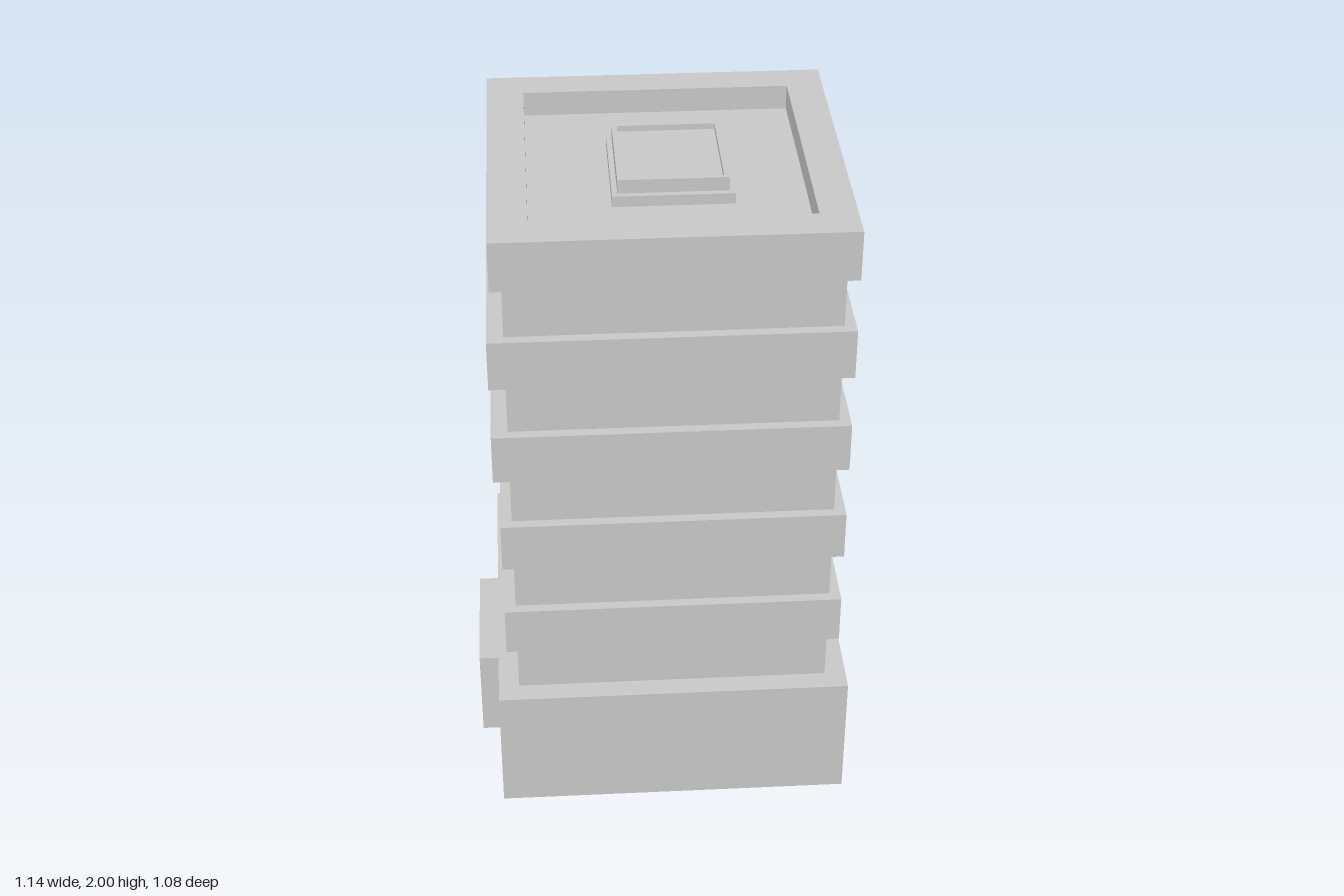
import * as THREE from 'three';

const material = new THREE.MeshStandardMaterial({ color: 0xcccccc, flatShading: true });

function add(parent, name, geometry) {
  const mesh = new THREE.Mesh(geometry, material);
  mesh.name = name;
  parent.add(mesh);
  return mesh;
}

// Box given by its limits on each axis
function block(parent, name, [x0, x1], [y0, y1], [z0, z1]) {
  const geometry = new THREE.BoxGeometry(x1 - x0, y1 - y0, z1 - z0);
  geometry.translate((x0 + x1) / 2, (y0 + y1) / 2, (z0 + z1) / 2);
  return add(parent, name, geometry);
}

function rectangle(PathType, [a0, a1], [b0, b1]) {
  return new PathType([[a0, b0], [a1, b0], [a1, b1], [a0, b1]].map(([a, b]) => new THREE.Vector2(a, b)));
}

// Rectangle with a rectangular hole, extruded along +z
function frame(outerA, outerB, innerA, innerB, depth) {
  const shape = rectangle(THREE.Shape, outerA, outerB);
  shape.holes.push(rectangle(THREE.Path, innerA, innerB));
  return new THREE.ExtrudeGeometry(shape, { depth, bevelEnabled: false });
}

// Frame lying flat, from y0 to y1 (z limits are given mirrored)
function flatFrame(parent, name, outX, outZ, inX, inZ, y0, y1) {
  const flip = ([a, b]) => [-b, -a];
  const geometry = frame(outX, flip(outZ), inX, flip(inZ), y1 - y0);
  geometry.rotateX(-Math.PI / 2).translate(0, y0, 0);
  return add(parent, name, geometry);
}

// Frame facing -x, from x1 out to x0
function sideFrame(parent, name, outZ, outY, inZ, inY, x0, x1) {
  const geometry = frame(outZ, outY, inZ, inY, x1 - x0);
  geometry.rotateY(-Math.PI / 2).translate(x1, 0, 0);
  return add(parent, name, geometry);
}

export function createModel() {
  const tower = new THREE.Group();
  tower.name = 'towerBlock';

  // Ground storey, with a passage running in from the entrance
  const doorZ = [-0.19, 0.185], doorY = [0.015, 0.282];
  const base = new THREE.Group();
  base.name = 'groundStorey';
  tower.add(base);
  block(base, 'baseRear', [0, 0.57], [0, 0.413], [-0.54, 0.54]);
  sideFrame(base, 'baseWithPassage', [-0.54, 0.54], [0, 0.413], doorZ, doorY, -0.508, 0);
  sideFrame(base, 'entranceSurround', [-0.208, 0.205], [0, 0.3], doorZ, doorY, -0.573, -0.508);

  // Recessed window storeys run as one core
  const roofY = 1.925;
  block(tower, 'core', [-0.445, 0.505], [0.413, roofY], [-0.475, 0.475]);

  // Projecting floor bands; the third and fourth reach further to one side
  const bandZ = [-0.508, 0.506];
  for (let i = 0; i < 4; i++) {
    const y = 0.577 + i * 0.3178;
    block(tower, 'floorBand', [i < 2 ? -0.478 : -0.493, 0.538], [y, y + 0.154], bandZ);
  }

  // Roof parapet around the sunken roof
  flatFrame(tower, 'parapet', [-0.478, 0.538], bandZ, [-0.367, 0.43], [-0.4, 0.398], 1.848, 2);

  // Rooftop plant housing: plinth, rim and sunken lid
  const roofBox = new THREE.Group();
  roofBox.name = 'roofHousing';
  tower.add(roofBox);
  block(roofBox, 'housingPlinth', [-0.128, 0.222], [roofY, 1.958], [-0.193, 0.19]);
  flatFrame(roofBox, 'housingRim', [-0.112, 0.206], [-0.176, 0.172], [-0.097, 0.19], [-0.163, 0.159], 1.958, 2);
  block(roofBox, 'housingLid', [-0.097, 0.19], [1.958, 1.982], [-0.163, 0.159]);

  return tower;
}
